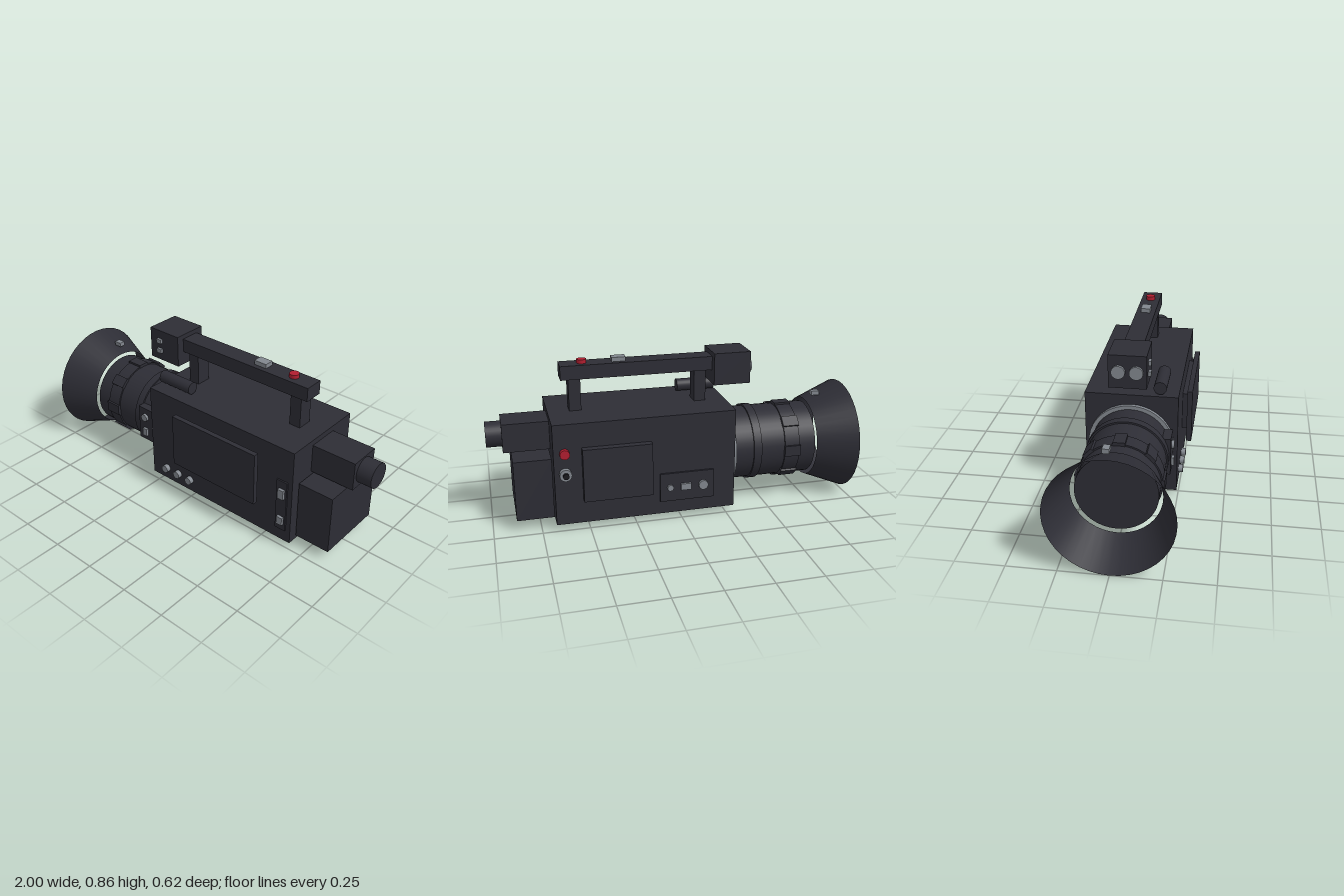
import * as THREE from 'three';

const mat = (name, color, extra = {}) => {
  const m = new THREE.MeshStandardMaterial({ color, ...extra });
  m.name = name;
  return m;
};

export function createModel() {
  const root = new THREE.Group();
  root.name = 'videoCamera';
  const dark = mat('charcoal', 0x2d2d35);
  const darkOpen = mat('charcoalOpen', 0x2d2d35, { side: THREE.DoubleSide });
  const gray = mat('metalGray', 0x82878e);
  const red = mat('signalRed', 0xb01e30);
  const black = mat('socketBlack', 0x18181c);

  const add = (name, geo, material, parent = root) => {
    const mesh = new THREE.Mesh(geo, material);
    mesh.name = name;
    parent.add(mesh);
    return mesh;
  };
  // Box given by its extents on each axis
  const box = (name, m, [x0, x1], [y0, y1], [z0, z1]) => {
    const b = add(name, new THREE.BoxGeometry(x1 - x0, y1 - y0, z1 - z0), m);
    b.position.set((x0 + x1) / 2, (y0 + y1) / 2, (z0 + z1) / 2);
    return b;
  };
  // Cylinders along x and z, given by their two ends
  const cylX = (name, m, x0, x1, y, z, r, seg = 32) => {
    const c = add(name, new THREE.CylinderGeometry(r, r, x1 - x0, seg), m);
    c.rotation.z = Math.PI / 2;
    c.position.set((x0 + x1) / 2, y, z);
    return c;
  };
  const cylZ = (name, m, x, y, z0, z1, r, seg = 16) => {
    const c = add(name, new THREE.CylinderGeometry(r, r, z1 - z0, seg), m);
    c.rotation.x = Math.PI / 2;
    c.position.set(x, y, (z0 + z1) / 2);
    return c;
  };

  // Main body, battery and eyepiece
  box('body', dark, [-0.295, 0.675], [0.035, 0.59], [-0.243, 0.243]);
  box('battery', dark, [0.68, 0.877], [0.06, 0.39], [-0.195, 0.195]);
  box('viewfinder', dark, [0.675, 0.918], [0.405, 0.56], [-0.088, 0.088]);
  cylX('eyepiece', dark, 0.918, 1, 0.483, 0, 0.068);

  // Lens
  const cy = 0.312;
  cylX('lensMount', gray, -0.315, -0.295, cy, 0, 0.225, 40);
  cylX('lensBarrel', dark, -0.78, -0.315, cy, 0, 0.204, 40);
  cylX('focusRing', dark, -0.685, -0.6, cy, 0, 0.212, 40);
  cylX('zoomRing', dark, -0.465, -0.42, cy, 0, 0.213, 40);
  for (let i = 0; i < 8; i++) {
    const a = (i * Math.PI) / 4;
    const rib = add('focusRib', new THREE.BoxGeometry(0.092, 0.02, 0.06), dark);
    rib.position.set(-0.643, cy + Math.cos(a) * 0.211, Math.sin(a) * 0.211);
    rib.rotation.x = a;
  }
  // Open flared hood, wide end towards -x
  const hood = add('lensHood', new THREE.CylinderGeometry(0.311, 0.224, 0.217, 40, 1, true), darkOpen);
  hood.rotation.z = Math.PI / 2;
  hood.position.set(-0.8915, cy, 0);
  box('hoodLatch', gray, [-0.855, -0.81], [0.568, 0.592], [-0.05, -0.016]);

  // Control box beside the lens
  box('lensControl', dark, [-0.42, -0.315], [0.21, 0.415], [0.13, 0.22]);
  cylZ('lensButton', gray, -0.368, 0.36, 0.22, 0.235, 0.022);
  box('lensSwitch', gray, [-0.383, -0.353], [0.243, 0.288], [0.22, 0.235]);

  // Carrying handle
  box('handleBar', dark, [-0.217, 0.6], [0.762, 0.837], [-0.053, 0.053]);
  for (const x of [-0.152, 0.528])
    box('handlePost', dark, [x - 0.032, x + 0.032], [0.59, 0.762], [-0.042, 0.042]);
  box('handleSwitch', gray, [0.25, 0.325], [0.837, 0.86], [-0.026, 0.026]);
  const rec = add('recordButton', new THREE.CylinderGeometry(0.026, 0.026, 0.021, 16), red);
  rec.position.set(0.481, 0.8475, 0);

  // Front unit on the handle
  box('handleUnit', dark, [-0.42, -0.217], [0.687, 0.862], [-0.096, 0.096]);
  for (const y of [0.803, 0.745])
    box('handleUnitButton', gray, [-0.365, -0.333], [y - 0.012, y + 0.012], [0.096, 0.111]);
  for (const z of [-0.045, 0.045])
    cylX('handleUnitKnob', gray, -0.435, -0.42, 0.775, z, 0.035, 16);

  // Microphone lying on the body
  cylX('microphone', dark, -0.28, -0.067, 0.629, 0.147, 0.034, 24);

  // Front side: screen, knobs and switch strip
  box('screenMount', dark, [-0.02, 0.43], [0.27, 0.48], [0.243, 0.272]);
  box('screen', dark, [-0.077, 0.48], [0.22, 0.52], [0.272, 0.3]);
  for (const x of [-0.185, -0.097, -0.009])
    cylZ('frontKnob', gray, x, 0.108, 0.243, 0.268, 0.022);
  box('switchStrip', dark, [0.585, 0.648], [0.105, 0.405], [0.243, 0.252]);
  for (const [y0, y1] of [[0.305, 0.36], [0.145, 0.19]])
    box('stripSwitch', gray, [0.603, 0.637], [y0, y1], [0.252, 0.268]);

  // Rear side: cassette door, audio panel, button and socket
  box('cassetteDoor', dark, [0.165, 0.53], [0.168, 0.458], [-0.282, -0.243]);
  box('audioPanel', dark, [-0.175, 0.12], [0.108, 0.268], [-0.254, -0.243]);
  cylZ('audioKnobLarge', gray, -0.115, 0.188, -0.27, -0.254, 0.026);
  box('audioSwitch', gray, [-0.048, 0.008], [0.17, 0.206], [-0.268, -0.254]);
  cylZ('audioKnobSmall', gray, 0.067, 0.188, -0.268, -0.254, 0.017);
  cylZ('sideButton', red, 0.618, 0.434, -0.266, -0.243, 0.026);
  cylZ('socketRing', gray, 0.618, 0.322, -0.271, -0.243, 0.032);
  cylZ('socketPin', black, 0.618, 0.322, -0.286, -0.271, 0.016);

  return root;
}
